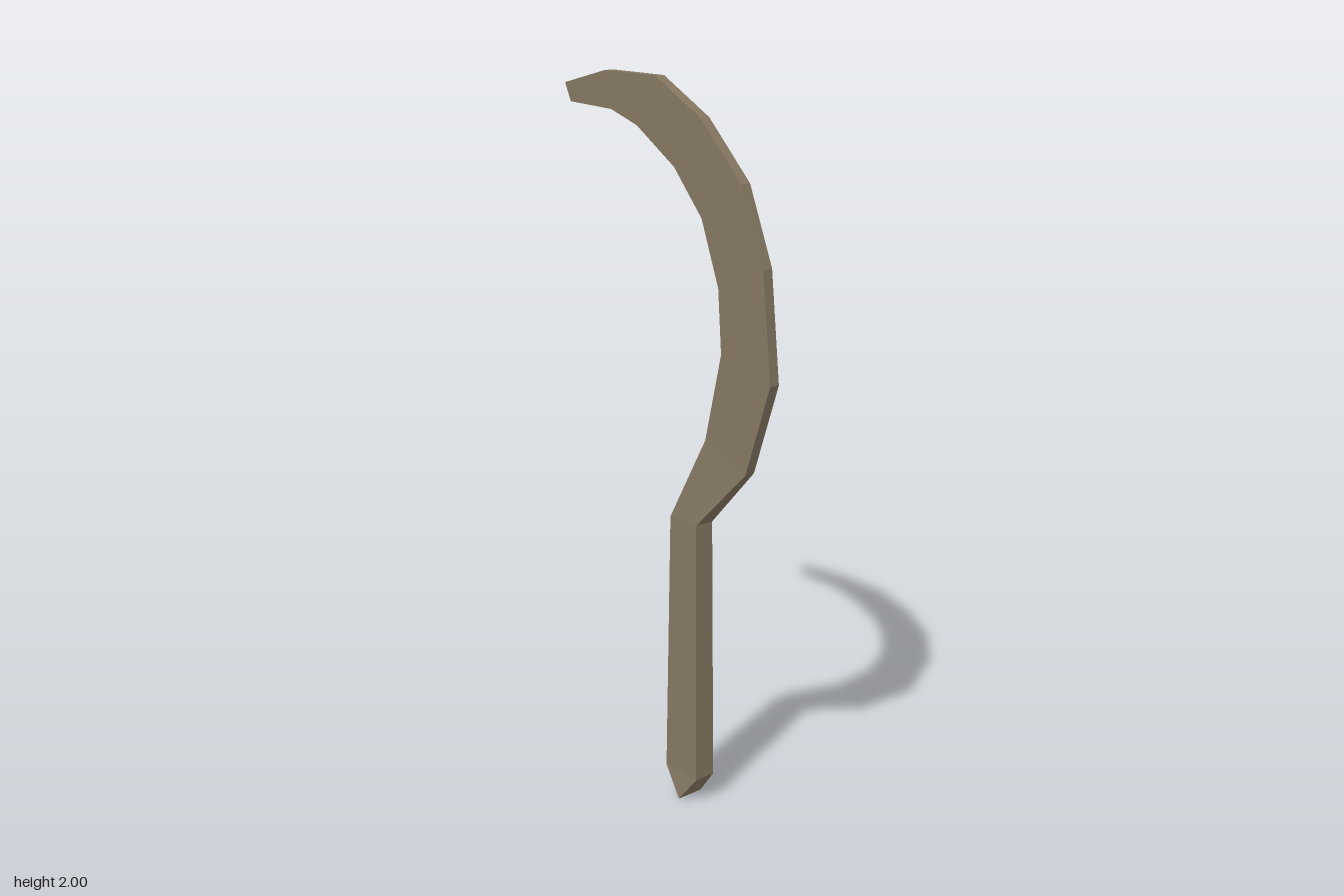
import * as THREE from 'three';

// Rectangular sections: [outer z, outer y, inner z, inner y, half width]
const gripSections = [
  [0.10, 0.00, 0.10, 0.00, 0.041], // pommel ridge
  [0.163, 0.08, 0.035, 0.08, 0.032],
  [0.153, 0.83, 0.048, 0.83, 0.029],
];
const bladeSections = [
  gripSections[2],
  [0.327, 1.01, 0.172, 1.07, 0.015],
  [0.412, 1.26, 0.230, 1.31, 0.015],
  [0.380, 1.55, 0.217, 1.48, 0.015],
  [0.297, 1.75, 0.152, 1.65, 0.015],
  [0.145, 1.90, 0.045, 1.77, 0.015],
  [-0.03, 1.995, -0.105, 1.865, 0.015],
  [-0.235, 2.00, -0.212, 1.90, 0.015],
  [-0.412, 1.96, -0.388, 1.91, 0.015],
];

// Joins successive four-cornered sections into a faceted bar
function loft(sections, capEnd) {
  const rings = sections.map(([oz, oy, iz, iy, w]) => [
    new THREE.Vector3(w, oy, oz),
    new THREE.Vector3(w, iy, iz),
    new THREE.Vector3(-w, iy, iz),
    new THREE.Vector3(-w, oy, oz),
  ]);
  const points = [];
  const tri = (a, b, c) => {
    if (new THREE.Triangle(a, b, c).getArea() > 1e-7) points.push(a, b, c);
  };
  const quad = (a, b, c, d) => { tri(a, b, c); tri(a, c, d); };
  for (let i = 0; i < rings.length - 1; i++) {
    for (let k = 0; k < 4; k++) {
      const n = (k + 1) % 4;
      quad(rings[i][k], rings[i][n], rings[i + 1][n], rings[i + 1][k]);
    }
  }
  if (capEnd) quad(...rings[rings.length - 1]);
  const geometry = new THREE.BufferGeometry().setFromPoints(points);
  geometry.computeVertexNormals();
  return geometry;
}

export function createModel() {
  const bronze = new THREE.MeshStandardMaterial({ color: 0x857862 });
  bronze.name = 'dull bronze';

  const group = new THREE.Group();
  group.name = 'sickle';

  // Straight grip with a wedge-shaped pommel
  const grip = new THREE.Mesh(loft(gripSections, false), bronze);
  grip.name = 'grip';

  // Curved blade ending in a blunt tip
  const blade = new THREE.Mesh(loft(bladeSections, true), bronze);
  blade.name = 'blade';

  group.add(grip, blade);
  return group;
}
